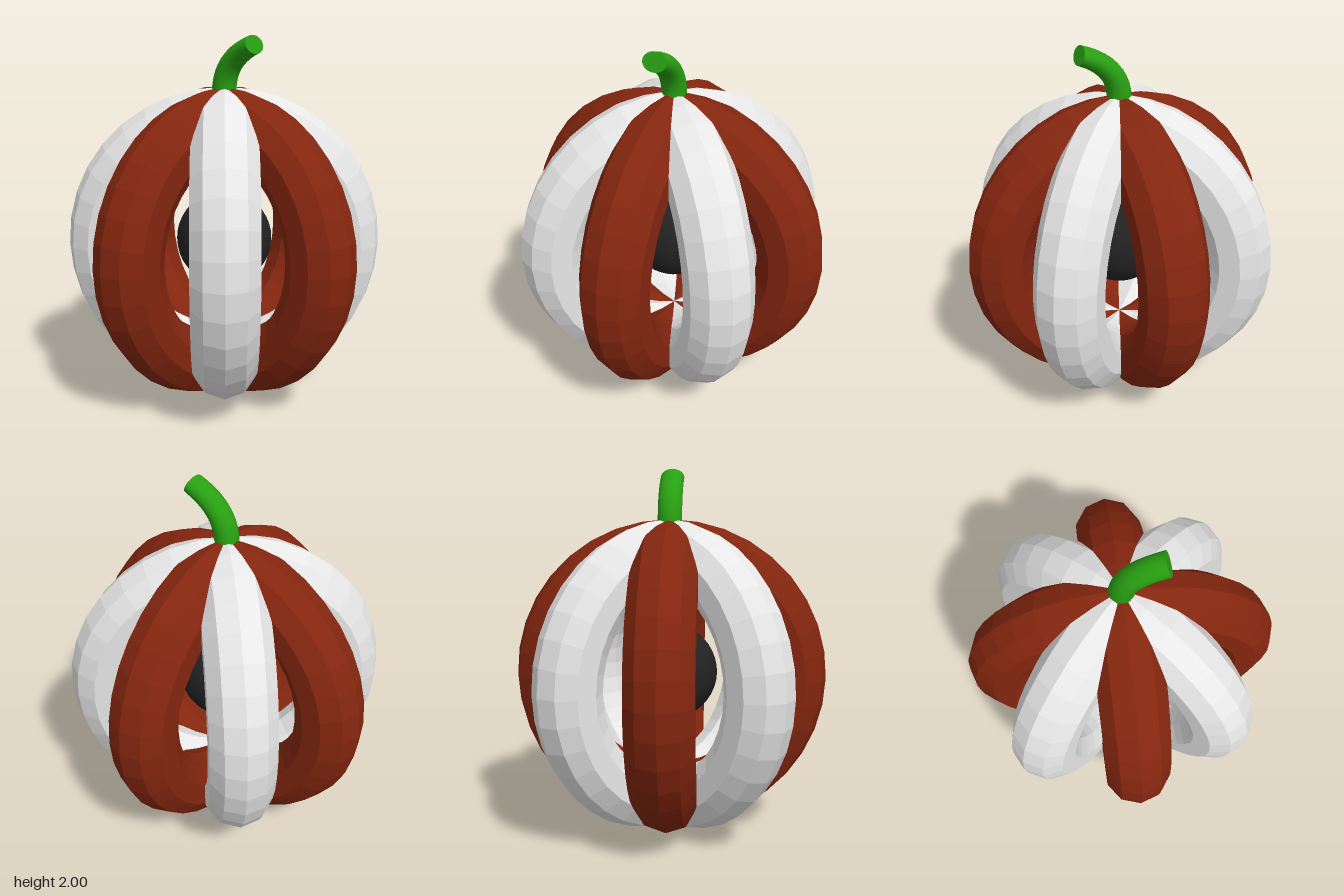
import * as THREE from 'three';

const material = (name, color, flatShading = false) => {
  const m = new THREE.MeshStandardMaterial({ color, flatShading });
  m.name = name;
  return m;
};

export function createModel() {
  const model = new THREE.Group();
  model.name = 'ringPumpkin';
  const rust = material('rust red', 0x84260f, true);
  const white = material('white', 0xebebeb, true);
  const black = material('black', 0x222222);
  const green = material('stem green', 0x28a012);

  const centreY = 0.865;
  const add = (name, geometry, mat) => {
    const mesh = new THREE.Mesh(geometry, mat);
    mesh.name = name;
    model.add(mesh);
    return mesh;
  };

  // Four upright rings crossing at the poles, alternating in colour
  const ringGeometry = new THREE.TorusGeometry(0.684, 0.18, 10, 36);
  for (let i = 0; i < 4; i++) {
    const ring = add(i % 2 ? 'whiteRing' : 'redRing', ringGeometry, i % 2 ? white : rust);
    ring.position.y = centreY;
    ring.rotation.y = i * Math.PI / 4;
  }

  // Dark ball floating in the middle
  add('core', new THREE.SphereGeometry(0.264, 32, 20), black).position.y = 0.89;

  // Stem: a cylinder bent forward along a curve, flattening towards its tip
  const path = new THREE.QuadraticBezierCurve3(
    new THREE.Vector3(0, 1.7, 0),
    new THREE.Vector3(0, 1.88, 0),
    new THREE.Vector3(0, 1.957, 0.215));
  const stem = new THREE.CylinderGeometry(0.066, 0.066, 1, 24, 10);
  const pos = stem.attributes.position;
  for (let i = 0; i < pos.count; i++) {
    const t = pos.getY(i) + 0.5;
    const p = path.getPoint(t);
    const d = path.getTangent(t);
    const across = pos.getZ(i) * (1 - 0.24 * t);
    pos.setXYZ(i, pos.getX(i), p.y - d.z * across, p.z + d.y * across);
  }
  stem.computeVertexNormals();
  add('stem', stem, green);

  return model;
}
